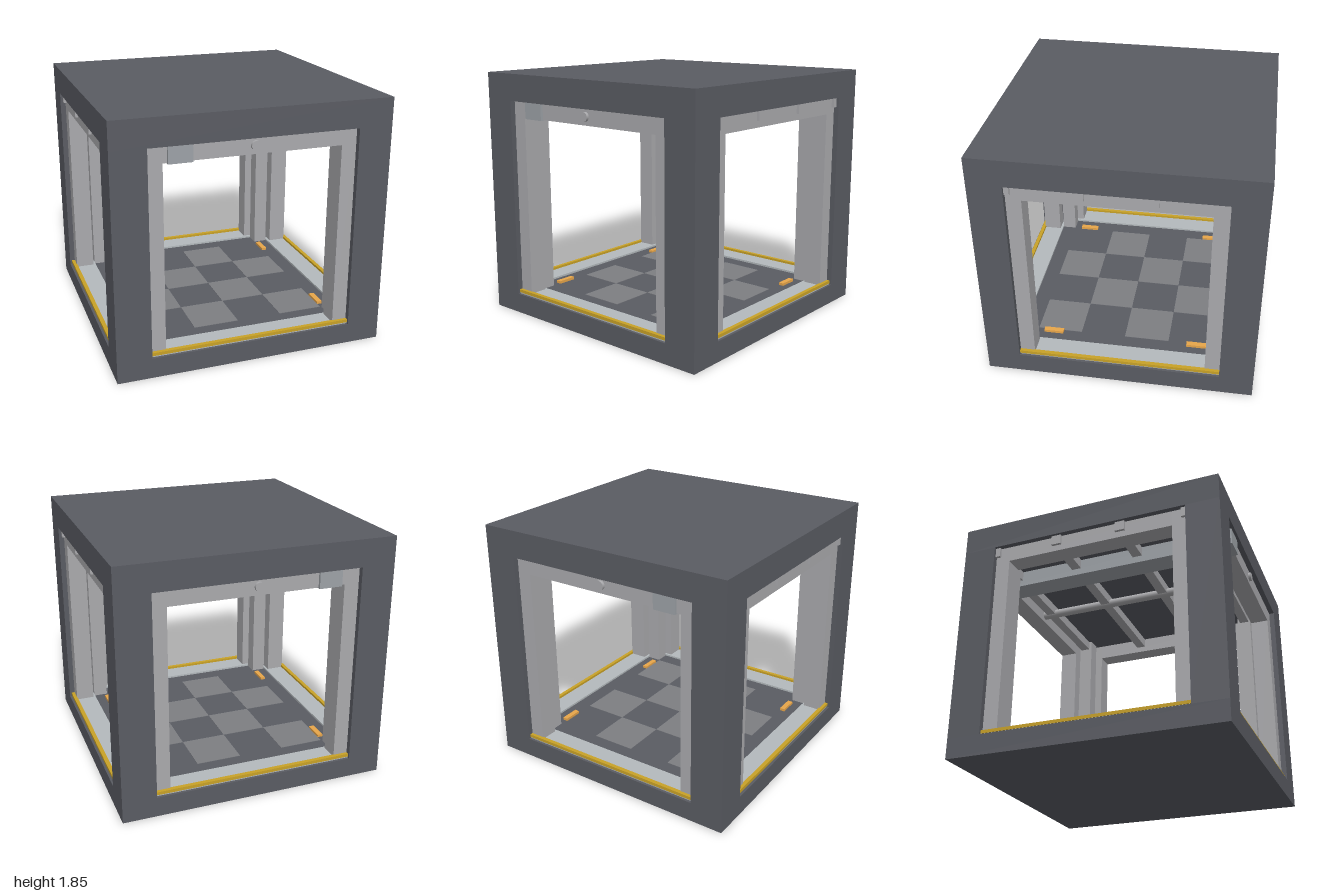
import * as THREE from 'three';

const mat = (color) => new THREE.MeshStandardMaterial({ color, flatShading: true });

export function createModel() {
  const model = new THREE.Group();
  const dark = mat(0x5a5c63), frame = mat(0xaaaaad), steel = mat(0x9da2a7);
  const sill = mat(0xb4babd), tile = mat(0x7d7e82), yellow = mat(0xc9a227), orange = mat(0xe8a64a);

  // Box given by its lower and upper corners
  function box(parent, name, material, [x0, y0, z0], [x1, y1, z1]) {
    const mesh = new THREE.Mesh(new THREE.BoxGeometry(x1 - x0, y1 - y0, z1 - z0), material);
    mesh.position.set((x0 + x1) / 2, (y0 + y1) / 2, (z0 + z1) / 2);
    mesh.name = name;
    parent.add(mesh);
    return mesh;
  }

  // Outer shell: floor slab, roof slab, corner posts with inner columns
  box(model, 'floorSlab', dark, [-1, 0, -1], [1, 0.15, 1]);
  box(model, 'roofSlab', dark, [-1, 1.65, -1], [1, 1.85, 1]);
  for (const sx of [-1, 1]) for (const sz of [-1, 1]) {
    const post = box(model, 'cornerPost', dark, [0.75, 0.15, 0.75], [1, 1.65, 1]);
    post.position.x *= sx;
    post.position.z *= sz;
    const column = box(model, 'innerColumn', frame, [0.69, 0.15, 0.69], [0.8, 1.65, 0.8]);
    column.position.x *= sx;
    column.position.z *= sz;
    // Floor marker light near each corner
    const light = box(model, 'floorLight', orange, [0.68, 0.15, 0.48], [0.72, 0.17, 0.63]);
    light.position.x *= sx;
    light.position.z *= sz;
  }

  // Door frame, repeated on all four sides
  for (let i = 0; i < 4; i++) {
    const door = new THREE.Group();
    door.name = 'doorFrame';
    for (const s of [-1, 1]) {
      const jamb = box(door, 'jamb', frame, [0.64, 0.15, 0.82], [0.75, 1.65, 0.96]);
      jamb.position.x *= s;
    }
    box(door, 'header', frame, [-0.64, 1.53, 0.82], [0.64, 1.65, 0.96]);
    box(door, 'threshold', sill, [-0.75, 0.15, 0.8], [0.75, 0.165, 0.98]);
    box(door, 'warningStrip', yellow, [-0.75, 0.16, 0.955], [0.75, 0.183, 0.985]);
    door.rotation.y = i * Math.PI / 2;
    model.add(door);
  }

  // Checkered deck plates
  const n = 4, size = 1.36 / n;
  for (let i = 0; i < n; i++) for (let j = 0; j < n; j++) {
    if ((i + j) % 2) continue;
    const x = -0.68 + i * size, z = -0.68 + j * size;
    box(model, 'deckPlate', tile, [x, 0.148, z], [x + size, 0.153, z + size]);
  }

  // Ceiling services: cross beams, duct and pipe
  for (const z of [-0.75, -0.25, 0.25, 0.75])
    box(model, 'ceilingBeam', frame, [-0.98, 1.577, z - 0.037], [0.98, 1.65, z + 0.037]);
  box(model, 'ceilingDuct', steel, [-0.61, 1.525, -0.98], [-0.44, 1.65, 0.98]);
  const pipe = new THREE.Mesh(new THREE.CylinderGeometry(0.034, 0.034, 1.96, 16),
    new THREE.MeshStandardMaterial({ color: 0xaaaaad }));
  pipe.rotation.x = Math.PI / 2;
  pipe.position.set(0, 1.592, 0);
  pipe.name = 'ceilingPipe';
  model.add(pipe);

  return model;
}
